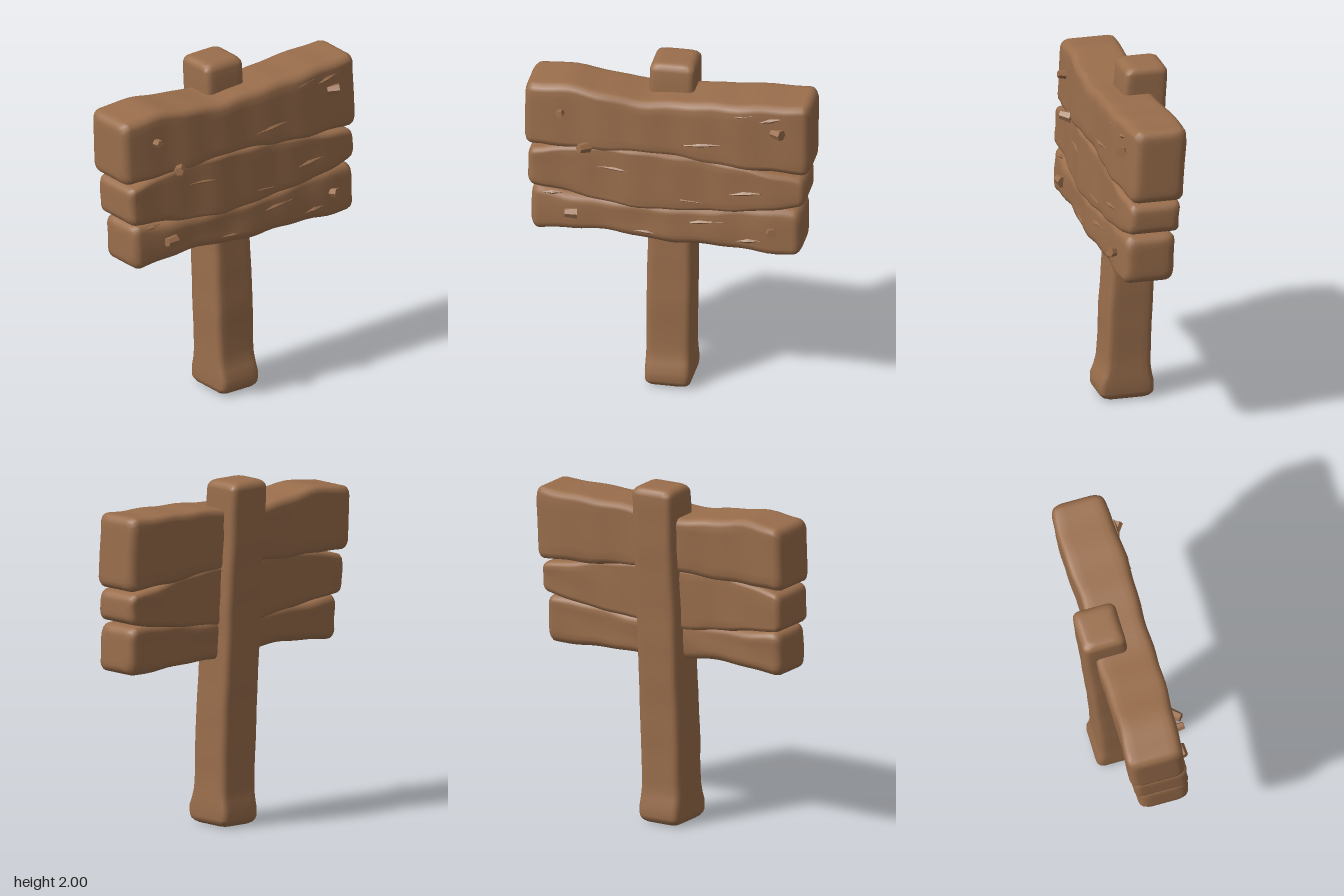
import * as THREE from 'three';

// Lofts a rounded rectangle along z. Rows: [z, xMin, xMax, yMin, yMax].
function loft(rows, { r = 0.04, endR = 0.05, lean = 0, wobble = 0.005, steps = 30, seed = 0 }) {
  const at = (z, k) => { // smooth interpolation of a row value
    let i = 0;
    while (i < rows.length - 2 && z > rows[i + 1][0]) i++;
    const p = rows[Math.max(i - 1, 0)], a = rows[i], b = rows[i + 1], c = rows[Math.min(i + 2, rows.length - 1)];
    const h = b[0] - a[0], t = Math.min(Math.max((z - a[0]) / h, 0), 1);
    const ma = h * (b[k] - p[k]) / (b[0] - p[0]), mb = h * (c[k] - a[k]) / (c[0] - a[0]);
    const t2 = t * t, t3 = t2 * t;
    return (2 * t3 - 3 * t2 + 1) * a[k] + (t3 - 2 * t2 + t) * ma + (3 * t2 - 2 * t3) * b[k] + (t3 - t2) * mb;
  };
  const z0 = rows[0][0], z1 = rows[rows.length - 1][0];
  const rings = []; // [z, inset]
  const cap = [[0, endR + 0.03], [0, endR]];
  for (let i = 1; i <= 4; i++) {
    const a = i / 4 * Math.PI / 2;
    cap.push([endR * (1 - Math.sin(a)) * -1 + endR, endR * (1 - Math.sin(a))]);
  }
  for (let i = 2; i < cap.length; i++) {
    const a = (i - 1) / 4 * Math.PI / 2;
    cap[i] = [endR * (1 - Math.cos(a)), endR * (1 - Math.sin(a))];
  }
  cap.forEach(([d, s]) => rings.push([z0 + d, s]));
  for (let i = 1; i < steps; i++) rings.push([z0 + endR + (z1 - z0 - 2 * endR) * i / steps, 0]);
  cap.slice().reverse().forEach(([d, s]) => rings.push([z1 - d, s]));

  const pos = [], idx = [];
  const n = 28; // four corners of four points, three points along each side
  rings.forEach(([z, s]) => {
    const w = (k) => wobble * (Math.sin(z * 9 + k * 2.1 + seed) + 0.6 * Math.sin(z * 23 + k * 4.3 + seed * 3));
    const x0 = at(z, 1) + s + w(1), x1 = at(z, 2) - s + w(2), y0 = at(z, 3) + s + w(3), y1 = at(z, 4) - s + w(4);
    const pts = [];
    [[x1, y0, -1, 1], [x1, y1, -1, -1], [x0, y1, 1, -1], [x0, y0, 1, 1]].forEach(([x, y, sx, sy], c) => {
      for (let j = 0; j < 4; j++) {
        const a = (c - 1 + j / 3) * Math.PI / 2;
        pts.push([x + sx * r + r * Math.cos(a), y + sy * r + r * Math.sin(a)]);
      }
    });
    const ym = (y0 + y1) / 2;
    for (let c = 0; c < 4; c++) {
      const a = pts[c * 4 + 3], b = pts[(c * 4 + 4) % 16];
      const ring = pts.slice(c * 4, c * 4 + 4);
      for (const t of [0.15, 0.5, 0.85]) ring.push([a[0] + (b[0] - a[0]) * t, a[1] + (b[1] - a[1]) * t]);
      ring.forEach(([x, y]) => {
        const grain = wobble * 0.5 * Math.sin(y * 40 + z * 5 + seed);
        pos.push(x + lean * (y - ym) + grain, y, z);
      });
    }
  });
  for (let i = 0; i < rings.length - 1; i++) for (let j = 0; j < n; j++) {
    const a = i * n + j, b = i * n + (j + 1) % n;
    idx.push(a, b, b + n, a, b + n, a + n);
  }
  // end caps
  [0, rings.length - 1].forEach((ri) => {
    const c = pos.length / 3, mid = [0, 0];
    for (let j = 0; j < n; j++) { mid[0] += pos[(ri * n + j) * 3] / n; mid[1] += pos[(ri * n + j) * 3 + 1] / n; }
    pos.push(mid[0], mid[1], rings[ri][0]);
    for (let j = 0; j < n; j++) {
      const a = ri * n + j, b = ri * n + (j + 1) % n;
      if (ri === 0) idx.push(c, b, a); else idx.push(c, a, b);
    }
  });
  const g = new THREE.BufferGeometry();
  g.setAttribute('position', new THREE.Float32BufferAttribute(pos, 3));
  g.setIndex(idx);
  g.computeVertexNormals();
  return g;
}

export function createModel() {
  const model = new THREE.Group();
  model.name = 'woodenSign';
  const wood = new THREE.MeshStandardMaterial({ color: 0x9a6e4c });
  wood.name = 'brown wood';
  const add = (name, geometry, parent = model) => {
    const m = new THREE.Mesh(geometry, wood);
    m.name = name;
    parent.add(m);
    return m;
  };

  // leaning post with a flared foot, lofted upright
  const post = loft([
    [0.005, -0.16, 0.14, -0.13, 0.13],
    [0.09, -0.168, 0.158, -0.133, 0.133],
    [0.2, -0.148, 0.12, -0.13, 0.13],
    [0.6, -0.165, 0.1, -0.13, 0.13],
    [1.2, -0.2, 0.06, -0.13, 0.13],
    [1.9, -0.245, 0.008, -0.13, 0.13],
    [2, -0.25, 0.0, -0.13, 0.13],
  ], { r: 0.035, endR: 0.045, wobble: 0.0015, steps: 36 });
  post.rotateX(-Math.PI / 2);
  add('post', post);

  // three stacked planks that part at their ends
  add('topPlank', loft([
    [-0.825, -0.17, 0.15, 1.445, 1.87],
    [-0.5, -0.165, 0.165, 1.46, 1.87],
    [-0.3, -0.155, 0.17, 1.48, 1.855],
    [0.1, -0.16, 0.17, 1.5, 1.835],
    [0.4, -0.165, 0.165, 1.5, 1.86],
    [0.6, -0.168, 0.16, 1.495, 1.88],
    [0.825, -0.175, 0.15, 1.485, 1.865],
  ], { lean: -0.06, r: 0.042, seed: 1 }));
  add('middlePlank', loft([
    [-0.8, -0.13, 0.165, 1.25, 1.425],
    [-0.5, -0.13, 0.18, 1.21, 1.475],
    [0, -0.13, 0.19, 1.165, 1.53],
    [0.45, -0.13, 0.18, 1.2, 1.525],
    [0.8, -0.135, 0.165, 1.25, 1.475],
  ], { lean: -0.05, r: 0.03, endR: 0.04, seed: 2.4 }));
  add('bottomPlank', loft([
    [-0.78, -0.105, 0.18, 0.95, 1.235],
    [-0.5, -0.105, 0.195, 0.96, 1.225],
    [0, -0.105, 0.2, 0.975, 1.2],
    [0.3, -0.105, 0.2, 1.0, 1.21],
    [0.78, -0.11, 0.18, 0.98, 1.235],
  ], { lean: -0.05, r: 0.042, seed: 4.1 }));

  // faceted pegs along the board face: [x, y, z, size]
  const pegs = new THREE.Group();
  pegs.name = 'pegs';
  model.add(pegs);
  [[0.165, 1.72, 0.61, 0.028], [0.19, 1.525, 0.47, 0.034], [0.205, 1.11, 0.54, 0.034],
    [0.165, 1.715, -0.64, 0.032], [0.2, 1.1, -0.61, 0.03]].forEach(([x, y, z, s], i) => {
    const g = new THREE.CylinderGeometry(s * 0.75, s, 0.07, 6);
    g.rotateX(i * 0.7).rotateZ(-Math.PI / 2 + 0.15);
    add('peg', g.toNonIndexed(), pegs).position.set(x, y, z);
    pegs.children[i].geometry.computeVertexNormals();
  });

  // low splinters lying along the grain: [x, y, z, length, tilt]
  const splinters = new THREE.Group();
  splinters.name = 'splinters';
  model.add(splinters);
  [[0.16, 1.8, -0.42, 0.2, 0.15], [0.158, 1.79, -0.6, 0.14, 0.25], [0.172, 1.6, -0.2, 0.24, 0.1],
    [0.182, 1.4, 0.25, 0.3, -0.08], [0.182, 1.32, -0.45, 0.26, 0.12], [0.188, 1.25, -0.1, 0.24, -0.1],
    [0.193, 1.12, -0.2, 0.28, 0.1], [0.2, 1.03, 0.1, 0.26, -0.06], [0.198, 1.03, -0.48, 0.14, 0.1],
    [0.175, 1.215, 0.65, 0.12, 0.1]].forEach(([x, y, z, len, tilt]) => {
    const g = new THREE.OctahedronGeometry(1);
    g.scale(0.012, 0.014, len / 2).rotateX(tilt);
    add('splinter', g, splinters).position.set(x, y, z);
  });
  return model;
}
